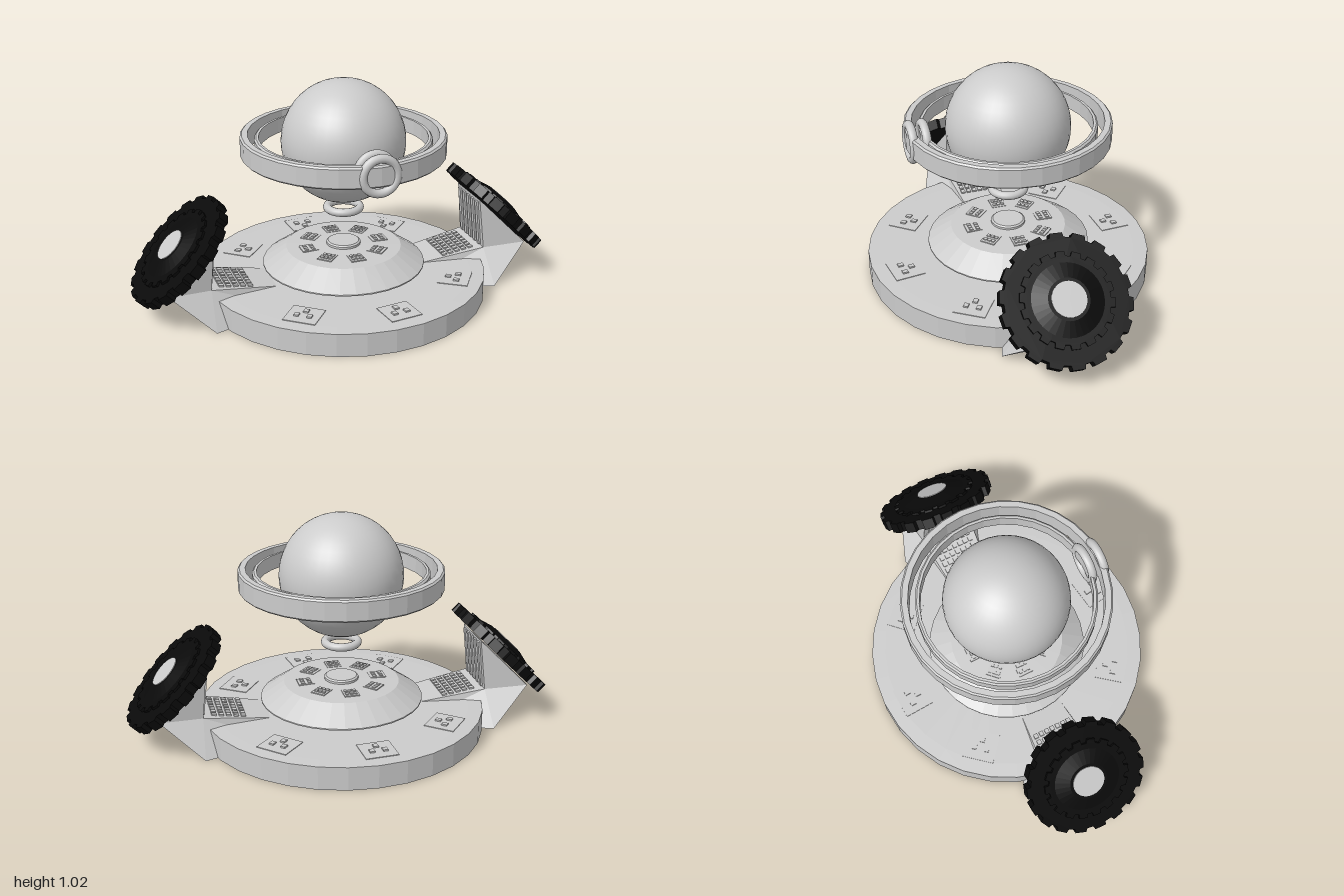
import * as THREE from 'three';

const grey = new THREE.MeshStandardMaterial({ color: 0xcccccc });
const flat = new THREE.MeshStandardMaterial({ color: 0xcccccc, flatShading: true, side: THREE.DoubleSide });
const black = new THREE.MeshStandardMaterial({ color: 0x0a0a0a, flatShading: true });

function add(parent, name, geo, mat, x = 0, y = 0, z = 0) {
  const m = new THREE.Mesh(geo, mat);
  m.name = name;
  m.position.set(x, y, z);
  parent.add(m);
  return m;
}

function group(parent, name) {
  const g = new THREE.Group();
  g.name = name;
  parent.add(g);
  return g;
}

function lathe(points, segments = 32) {
  return new THREE.LatheGeometry(points.map(([r, y]) => new THREE.Vector2(r, y)), segments);
}

// Band with a rectangular section and slightly bevelled outer edges
function band(inner, outer, y0, y1) {
  const b = 0.008;
  return lathe([[inner, y0], [outer - b, y0], [outer, y0 + b], [outer, y1 - b], [outer - b, y1], [inner, y1], [inner, y0]]);
}

// Toothed disc along z, from z0 to z1
function toothedDisc(root, tip, teeth, z0, z1) {
  const shape = new THREE.Shape();
  const pitch = (Math.PI * 2) / teeth;
  for (let i = 0; i < teeth; i++) {
    [[0, root], [0.06, tip], [0.6, tip], [0.66, root]].forEach(([f, r], k) => {
      const a = (i + f) * pitch;
      const p = [Math.cos(a) * r, Math.sin(a) * r];
      if (i + k === 0) shape.moveTo(...p); else shape.lineTo(...p);
    });
  }
  const g = new THREE.ExtrudeGeometry(shape, { depth: z1 - z0, bevelEnabled: false });
  return g.translate(0, 0, z0);
}

// Bracket: side profile of [x, y, half width], mirrored across z
function bracketGeometry() {
  const p = [[0.30, 0, 0.12], [0.36, 0.11, 0.10], [0.67, 0.155, 0.13],
    [0.645, 0.40, 0.12], [0.87, 0.17, 0.165], [0.68, 0, 0.245]];
  const n = p.length;
  const pos = [];
  p.forEach(([x, y, w]) => pos.push(x, y, w));
  p.forEach(([x, y, w]) => pos.push(x, y, -w));
  const index = [];
  for (let i = 0; i < n; i++) {
    const j = (i + 1) % n;
    index.push(i, i + n, j, j, i + n, j + n);
  }
  for (const [a, b, c] of [[0, 2, 1], [0, 5, 2], [2, 5, 4], [2, 4, 3]]) {
    index.push(a, b, c, a + n, c + n, b + n);
  }
  const g = new THREE.BufferGeometry();
  g.setAttribute('position', new THREE.Float32BufferAttribute(pos, 3));
  g.setIndex(index);
  g.computeVertexNormals();
  return g;
}

// Box stretched between two points of the xy plane
function beam(parent, name, a, b, thick, depth, z) {
  const len = Math.hypot(b[0] - a[0], b[1] - a[1]);
  const m = add(parent, name, new THREE.BoxGeometry(len, thick, depth), grey, (a[0] + b[0]) / 2, (a[1] + b[1]) / 2, z);
  m.rotation.z = Math.atan2(b[1] - a[1], b[0] - a[0]);
  return m;
}

function buildArm(parent, name) {
  const arm = group(parent, name);
  add(arm, 'bracket', bracketGeometry(), flat);

  // Ribs on the upright inner face, the outer face and its foot
  for (let i = -2; i <= 2; i++) {
    beam(arm, 'innerRib', [0.667, 0.16], [0.643, 0.385], 0.012, 0.022, i * 0.045);
  }
  for (const s of [-1, 1]) {
    beam(arm, 'outerRib', [0.70, 0.012], [0.85, 0.145], 0.02, 0.025, s * 0.02);
    add(arm, 'footBlock', new THREE.BoxGeometry(0.03, 0.016, 0.05), grey, 0.69, 0.014, s * 0.045);
  }

  // Keypad on the ramp
  const keys = group(arm, 'keypad');
  keys.position.set(0.55, 0.1395, 0);
  keys.rotation.z = Math.atan2(0.045, 0.31);
  const key = new THREE.BoxGeometry(0.022, 0.008, 0.02);
  for (let i = 0; i < 5; i++) {
    for (let j = 0; j < 7; j++) add(keys, 'key', key, grey, (i - 2) * 0.034, 0.002, (j - 3) * 0.029);
  }

  // Tilted tyre with stepped treads and a pale hub
  const wheel = group(arm, 'wheel');
  wheel.position.set(0.782, 0.308, 0);
  wheel.rotation.set(0, Math.PI / 2, Math.PI / 4, 'ZYX');
  add(wheel, 'tyre', toothedDisc(0.268, 0.287, 18, -0.025, 0.025), black);
  add(wheel, 'tread', toothedDisc(0.185, 0.205, 18, 0.02, 0.036), black);
  const wall = add(wheel, 'tyreWall', new THREE.CylinderGeometry(0.09, 0.165, 0.02, 32), black, 0, 0, 0.044);
  wall.rotation.x = Math.PI / 2;
  const hub = add(wheel, 'hub', new THREE.CylinderGeometry(0.076, 0.076, 0.02, 32), grey, 0, 0, 0.047);
  hub.rotation.x = Math.PI / 2;
  return arm;
}

export function createModel() {
  const model = new THREE.Group();
  model.name = 'console';

  // Hollow round base, open underneath
  add(model, 'base', lathe([[0.665, 0], [0.665, 0.108], [0.60, 0.11], [0.30, 0.11]]), flat);

  // Raised centre
  add(model, 'dome', lathe([[0.30, 0.11], [0.38, 0.14], [0.38, 0.146], [0.27, 0.222], [0.075, 0.23]]), flat);
  add(model, 'button', lathe([[0.05, 0.222], [0.08, 0.228], [0.08, 0.24], [0.072, 0.246], [0, 0.246]]), flat);
  const lowRing = add(model, 'floatingRing', new THREE.TorusGeometry(0.076, 0.019, 12, 32), grey, 0, 0.413, 0);
  lowRing.rotation.x = Math.PI / 2;

  // Outer control panels, set into the base
  const panelBox = new THREE.BoxGeometry(0.15, 0.08, 0.14);
  const panelKey = new THREE.BoxGeometry(0.022, 0.01, 0.026);
  for (const [x, z] of [[-0.03, -0.53], [0.37, -0.38], [0.44, 0.30], [0.07, 0.52], [-0.33, 0.41], [-0.40, -0.34]]) {
    const panel = group(model, 'controlPanel');
    panel.position.set(x, 0, z);
    panel.rotation.y = Math.atan2(x, z);
    add(panel, 'panelBlock', panelBox, grey, 0, 0.073, 0);
    for (const [kx, kz] of [[-0.03, 0.012], [0.03, 0.012], [0, -0.03]]) {
      add(panel, 'panelButton', panelKey, grey, kx, 0.115, kz);
    }
  }

  // Small panels around the centre button
  const smallBox = new THREE.BoxGeometry(0.07, 0.035, 0.075);
  const smallKey = new THREE.BoxGeometry(0.015, 0.006, 0.017);
  for (let i = 0; i < 8; i++) {
    const a = (i / 8) * Math.PI * 2;
    const panel = group(model, 'smallPanel');
    panel.position.set(Math.sin(a) * 0.172, 0.212, Math.cos(a) * 0.172);
    panel.rotation.y = a;
    add(panel, 'smallPanelBlock', smallBox, grey);
    for (const kx of [-1, 0, 1]) {
      for (const kz of [-1, 1]) add(panel, 'smallKey', smallKey, grey, kx * 0.02, 0.019, kz * 0.016);
    }
  }

  // Arms with wheels, left and right
  buildArm(model, 'leftArm');
  buildArm(model, 'rightArm').rotation.y = Math.PI;

  // Floating sphere with its two bands and front rings
  add(model, 'sphere', new THREE.SphereGeometry(0.285, 40, 24), grey, 0, 0.74, 0);
  add(model, 'outerBand', band(0.435, 0.47, 0.68, 0.78), flat);
  add(model, 'innerBand', band(0.385, 0.405, 0.695, 0.765), flat);
  for (const z of [0.452, 0.392]) {
    add(model, 'frontRing', new THREE.TorusGeometry(0.078, 0.02, 12, 32), grey, 0, 0.728, z);
  }
  return model;
}
